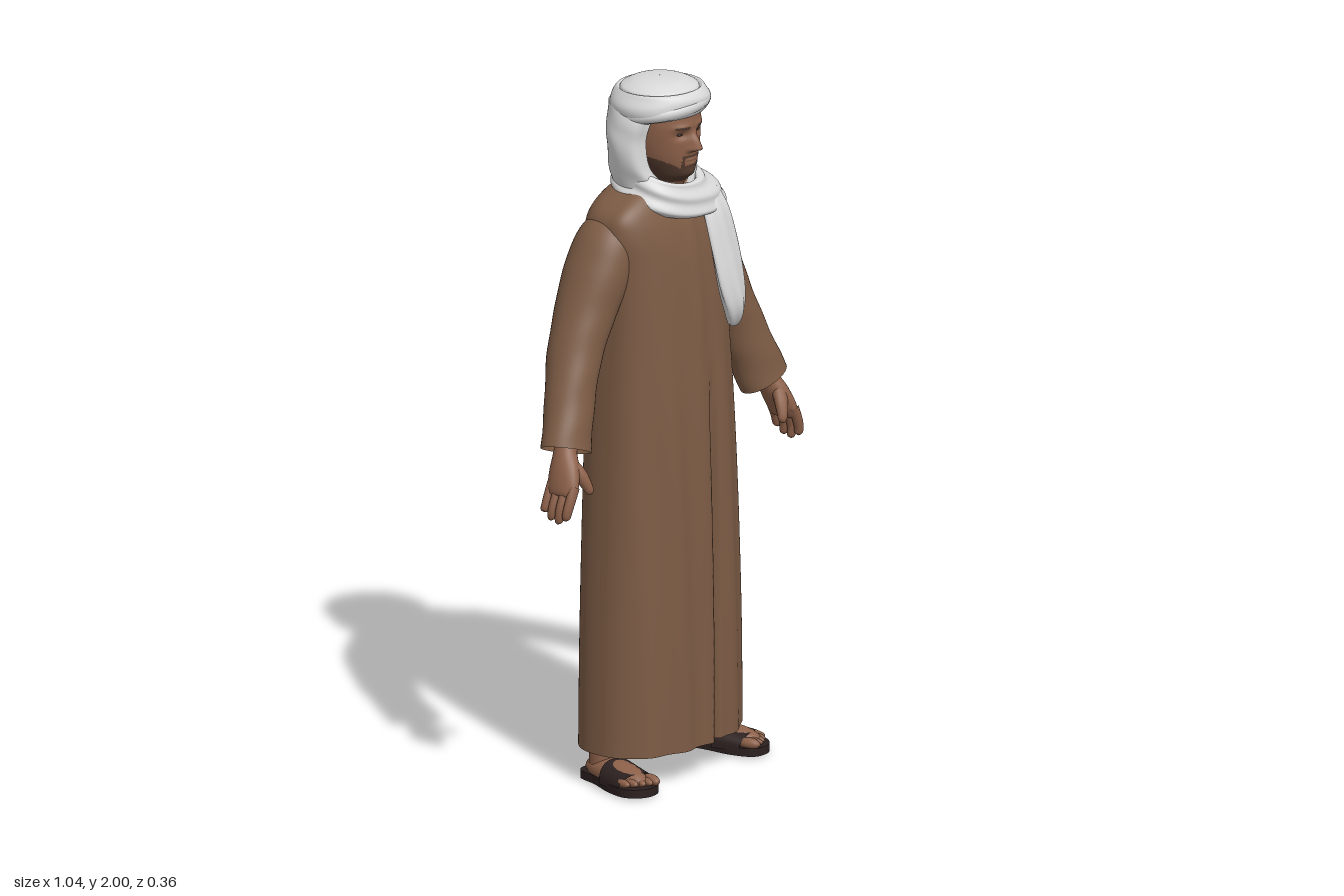
import * as THREE from 'three';

const mat = (name, color, side = THREE.FrontSide) => {
  const m = new THREE.MeshStandardMaterial({ color, side });
  m.name = name;
  return m;
};
const TAU = Math.PI * 2;
const bump = (d, w) => Math.exp(-((d / w) ** 2));
const ramp = (a, b, v) => THREE.MathUtils.smoothstep(v, a, b);
const power = (v, e) => Math.sign(v) * Math.abs(v) ** e;

// Smooth interpolation between the rows of a small profile table
const spline = (a, b, c, d, t) =>
  b + 0.5 * t * (c - a + t * (2 * a - 5 * b + 4 * c - d + t * (3 * (b - c) + d - a)));
function sample(rows, s) {
  const last = rows.length - 1;
  const f = THREE.MathUtils.clamp(s, 0, 1) * last;
  const i = Math.min(Math.floor(f), last - 1);
  const at = (k) => rows[THREE.MathUtils.clamp(k, 0, last)];
  return rows[0].map((_, c) => spline(at(i - 1)[c], at(i)[c], at(i + 1)[c], at(i + 2)[c], f - i));
}

// Surface from rings: fn(s along, t around) gives a point
function surface(ns, nt, fn, closed = true) {
  const pos = [], idx = [], cols = closed ? nt : nt + 1;
  for (let i = 0; i <= ns; i++)
    for (let j = 0; j < cols; j++) pos.push(...fn(i / ns, j / nt));
  for (let i = 0; i < ns; i++)
    for (let j = 0; j < nt; j++) {
      const k = (j + 1) % cols;
      const a = i * cols + j, b = i * cols + k, c = a + cols, d = b + cols;
      idx.push(a, b, d, a, d, c);
    }
  const g = new THREE.BufferGeometry();
  g.setAttribute('position', new THREE.Float32BufferAttribute(pos, 3));
  g.setIndex(idx);
  g.computeVertexNormals();
  return g;
}

// Tapered limb through rows of [x, y, z, half width, half depth]
function limb(rows, ns, nt, fold = () => 1) {
  return surface(ns, nt, (s, t) => {
    const [x, y, z, ra, rb] = sample(rows, s);
    const p = sample(rows, s - 0.01), q = sample(rows, s + 0.01);
    const dir = new THREE.Vector3(q[0] - p[0], q[1] - p[1], q[2] - p[2]).normalize();
    const u = new THREE.Vector3(0, 0, 1).addScaledVector(dir, -dir.z).normalize();
    const v = dir.clone().cross(u);
    const k = fold(s, t * TAU);
    return new THREE.Vector3(x, y, z)
      .addScaledVector(u, Math.cos(t * TAU) * rb * k)
      .addScaledVector(v, Math.sin(t * TAU) * ra * k).toArray();
  });
}

// Splits faces into two materials by a rule on the face centre
function paint(g, rule) {
  const p = g.attributes.position, sets = [[], []];
  for (let i = 0; i < g.index.count; i += 3) {
    const f = [0, 1, 2].map((k) => g.index.getX(i + k));
    const mid = (get) => f.reduce((sum, k) => sum + p[get](k), 0) / 3;
    sets[rule(mid('getX'), mid('getY'), mid('getZ')) ? 1 : 0].push(...f);
  }
  g.setIndex([...sets[0], ...sets[1]]);
  g.addGroup(0, sets[0].length, 0);
  g.addGroup(sets[0].length, sets[1].length, 1);
  return g;
}

export function createModel() {
  const model = new THREE.Group();
  const robeMat = mat('robe brown', 0x7d5c45, THREE.DoubleSide);
  const scarfMat = mat('scarf white', 0xd8d8d8, THREE.DoubleSide);
  const skin = mat('skin', 0x8c6049);
  const hair = mat('beard brown', 0x51392d);
  const eyeMat = mat('eye dark', 0x3a2a24);
  const leather = mat('dark leather', 0x2c2020, THREE.DoubleSide);
  const add = (parent, name, geo, m) => {
    const mesh = new THREE.Mesh(geo, m);
    mesh.name = name;
    parent.add(mesh);
    return mesh;
  };

  // Robe: [y, half width, front, back], with folds, a placket and a front slit
  const robeRows = [
    [0.09, 0.27, 0.162, 0.178], [0.4, 0.264, 0.162, 0.178], [0.75, 0.25, 0.158, 0.178],
    [1.05, 0.234, 0.15, 0.178], [1.3, 0.22, 0.135, 0.178], [1.48, 0.22, 0.118, 0.177],
    [1.58, 0.23, 0.1, 0.168], [1.64, 0.215, 0.08, 0.15], [1.685, 0.148, 0.06, 0.125],
    [1.71, 0.07, 0.045, 0.08],
  ];
  add(model, 'robe', surface(64, 180, (s, t) => {
    const [y, w, front, back] = sample(robeRows, s);
    const a = t * TAU, c = Math.cos(a), isFront = c > 0;
    const x = w * power(Math.sin(a), 0.88);
    let z = isFront ? front * c ** 0.9 : -back * Math.abs(c) ** (0.75 - 0.18 * ramp(1, 1.5, y));
    if (isFront) {
      const low = 1 - ramp(0.9, 1.5, y);
      z += 0.006 * c * low * Math.sin(x * 55 + y * 2);
      z -= 0.05 * bump(x - 0.045, 0.017) ** 2 * (1 - ramp(0.85, 1.2, y));
      z += 0.005 * bump(x, 0.028) ** 2 * ramp(1.15, 1.35, y);
    }
    return [x, y, z];
  }), robeMat);

  // Face and head: [y, half width, front, back]
  const headRows = [
    [1.66, 0.056, 0.045, 0.08], [1.705, 0.05, 0.07, 0.08], [1.735, 0.066, 0.097, 0.085],
    [1.78, 0.086, 0.105, 0.092], [1.83, 0.096, 0.108, 0.1], [1.88, 0.099, 0.11, 0.108],
    [1.935, 0.094, 0.1, 0.108],
  ];
  const head = surface(80, 96, (s, t) => {
    const [y, w, front, back] = sample(headRows, s);
    const a = t * TAU, c = Math.cos(a), x = w * Math.sin(a), ax = Math.abs(x);
    let z = c * (c > 0 ? front : back);
    if (c > 0) {
      z += 0.034 * bump(x, 0.014) * ramp(1.797, 1.813, y) * (1 - ramp(1.812, 1.87, y));
      z += 0.008 * bump(ax - 0.014, 0.008) * bump(y - 1.81, 0.009);
      z -= 0.01 * bump(ax - 0.036, 0.02) * bump(y - 1.852, 0.012);
      z += 0.005 * bump(ax - 0.036, 0.028) * bump(y - 1.875, 0.008);
      z += 0.006 * bump(x, 0.024) * (bump(y - 1.779, 0.005) + bump(y - 1.767, 0.005));
      z += 0.006 * bump(x, 0.025) * bump(y - 1.737, 0.014);
    }
    return [x, y, z];
  });
  add(model, 'head', paint(head, (x, y, z) => {
    const ax = Math.abs(x);
    const lips = ax < 0.026 && y > 1.76 && y < 1.784;
    const beard = z > 0 && y > 1.71 && y < 1.75 + 0.6 * Math.max(0, ax - 0.025);
    const moustache = z > 0 && ax < 0.034 && y > 1.71 && y < 1.791;
    const brow = z > 0 && Math.abs(ax - 0.037) < 0.021 && Math.abs(y - 1.874) < 0.004;
    return ((beard || moustache) && !lips) || brow;
  }), [skin, hair]);
  for (const side of [-1, 1]) {
    const eye = add(model, 'eye', new THREE.SphereGeometry(1, 16, 10), eyeMat);
    eye.scale.set(0.012, 0.0045, 0.006);
    eye.position.set(side * 0.036, 1.854, 0.09);
  }

  // Turban: [y, radius]
  const turbanRows = [
    [1.885, 0.1], [1.885, 0.122], [1.905, 0.136], [1.935, 0.139], [1.96, 0.129], [1.974, 0.118],
    [1.97, 0.11], [1.978, 0.103], [1.993, 0.07], [1.999, 0.03], [2, 0.001],
  ];
  add(model, 'turban', surface(50, 64, (s, t) => {
    const [y, r0] = sample(turbanRows, s);
    const a = t * TAU;
    const r = r0 * (1 + 0.014 * Math.sin(3 * a + s * 22) * (1 - ramp(0.4, 0.6, s)));
    const tilt = 0.022 * Math.cos(a) * (1 - ramp(0.1, 0.6, s));
    return [-0.005 + r * 1.02 * Math.sin(a), y + tilt, -0.008 + r * Math.cos(a)];
  }), scarfMat);
  const roll = add(model, 'turbanRoll', new THREE.TorusGeometry(0.122, 0.02, 12, 64), scarfMat);
  roll.rotation.set(Math.PI / 2 - 0.12, 0.1, 0);
  roll.position.set(-0.005, 1.922, -0.006);

  // Cloth over the ears and nape: [y, half width, half depth, half opening angle]
  const drapeRows = [
    [1.67, 0.115, 0.1, 0.3], [1.71, 0.128, 0.103, 0.55], [1.76, 0.146, 0.104, 0.85],
    [1.83, 0.153, 0.108, 0.95], [1.88, 0.148, 0.112, 0.9], [1.93, 0.13, 0.118, 0.8],
  ];
  add(model, 'headDrape', surface(36, 72, (s, t) => {
    const [y, w, d, gap] = sample(drapeRows, s);
    const a = gap + t * (TAU - 2 * gap);
    const edge = Math.min(t, 1 - t);
    const k = 1 - 0.18 * bump(edge, 0.035) + 0.012 * Math.sin(s * 17 + 3 * Math.cos(a) + a);
    return [-0.008 + w * k * Math.sin(a), y, -0.03 + d * k * Math.cos(a) * (Math.cos(a) > 0 ? 1.15 : 1)];
  }, false), scarfMat);

  // Scarf wound round the neck: [y, half width, half depth, centre x]
  const collarRows = [
    [1.665, 0.12, 0.1, 0.02], [1.642, 0.158, 0.122, 0.03], [1.655, 0.175, 0.132, 0.034],
    [1.685, 0.163, 0.129, 0.026], [1.713, 0.137, 0.119, 0.008], [1.737, 0.12, 0.107, -0.002],
    [1.74, 0.1, 0.095, 0], [1.715, 0.085, 0.085, 0],
  ];
  add(model, 'neckScarf', surface(56, 80, (s, t) => {
    const [y, w, d, cx] = sample(collarRows, s);
    const a = t * TAU;
    const k = 1 + 0.025 * Math.sin(s * 26 + 1.6 * Math.sin(a + 0.6));
    return [cx + w * k * power(Math.sin(a), 0.9), y - 0.036 * Math.cos(a) - 0.012 * Math.sin(a),
      -0.008 + d * k * power(Math.cos(a), 0.85)];
  }), scarfMat);

  // Hanging end of the scarf
  add(model, 'scarfTail', limb([
    [0.1, 1.66, 0.075, 0.035, 0.02], [0.102, 1.6, 0.105, 0.046, 0.024], [0.107, 1.5, 0.132, 0.05, 0.022],
    [0.113, 1.4, 0.15, 0.047, 0.024], [0.124, 1.33, 0.155, 0.035, 0.024], [0.138, 1.28, 0.142, 0.021, 0.014],
    [0.14, 1.268, 0.138, 0.002, 0.002],
  ], 36, 32, (s, a) => 1 + 0.1 * Math.sin(5 * a + s * 3)), scarfMat);

  // Arms, legs and sandals, mirrored
  for (const side of [1, -1]) {
    const half = new THREE.Group();
    half.name = side > 0 ? 'leftLimbs' : 'rightLimbs';
    half.scale.x = side;
    model.add(half);

    add(half, 'sleeve', limb([
      [0.12, 1.6, -0.04, 0.02, 0.05], [0.172, 1.568, -0.044, 0.076, 0.088],
      [0.222, 1.48, -0.05, 0.086, 0.098], [0.277, 1.37, -0.052, 0.081, 0.088],
      [0.337, 1.25, -0.042, 0.073, 0.078], [0.39, 1.12, -0.016, 0.073, 0.068],
      [0.43, 1.017, 0.006, 0.08, 0.064],
    ], 40, 40, (s, a) => 1 + 0.014 * Math.sin(s * 38 + 2 * a) * ramp(0.35, 0.7, s)), robeMat);

    add(half, 'hand', limb([
      [0.405, 1.08, 0, 0.03, 0.034], [0.437, 1.02, 0.01, 0.03, 0.034],
      [0.458, 0.975, 0.024, 0.031, 0.046], [0.477, 0.93, 0.034, 0.026, 0.051],
      [0.487, 0.905, 0.035, 0.018, 0.046], [0.49, 0.9, 0.035, 0.001, 0.001],
    ], 24, 24), skin);
    [0.855, 0.836, 0.83, 0.843].forEach((tip, i) => {
      const z = -0.004 + i * 0.026;
      add(half, 'finger', limb([
        [0.476, 0.935, z, 0.016, 0.0145], [0.493, 0.9, z, 0.0155, 0.014],
        [0.504, 0.87, z - 0.002, 0.0145, 0.013], [0.506, tip + 0.008, z - 0.005, 0.012, 0.011],
        [0.505, tip, z - 0.005, 0.001, 0.001],
      ], 14, 12), skin);
    });
    add(half, 'thumb', limb([
      [0.456, 0.995, 0.035, 0.022, 0.02], [0.438, 0.96, 0.062, 0.021, 0.019],
      [0.426, 0.93, 0.077, 0.016, 0.015], [0.42, 0.91, 0.083, 0.012, 0.011],
      [0.418, 0.903, 0.084, 0.001, 0.001],
    ], 14, 12), skin);

    const foot = new THREE.Group();
    foot.name = 'foot';
    foot.position.set(0.228, 0, 0.027);
    foot.rotation.y = 0.23;
    half.add(foot);

    // Sole outline, heel to toe
    const outline = [[0, -0.138], [0.04, -0.12], [0.046, -0.05], [0.062, 0.04], [0.055, 0.105],
      [0.008, 0.138], [-0.046, 0.122], [-0.06, 0.06], [-0.046, -0.04], [-0.042, -0.115]];
    const curve = new THREE.CatmullRomCurve3(outline.map(([x, z]) => new THREE.Vector3(x, -z, 0)), true);
    const soleShape = new THREE.Shape(curve.getPoints(48).map((p) => new THREE.Vector2(p.x, p.y)));
    const sole = new THREE.ExtrudeGeometry(soleShape, { depth: 0.024, bevelEnabled: false });
    add(foot, 'sole', sole.rotateX(-Math.PI / 2), leather);

    const instep = add(foot, 'instep', new THREE.SphereGeometry(1, 24, 16), skin);
    instep.scale.set(0.05, 0.038, 0.125);
    instep.position.set(0, 0.034, -0.008);
    add(foot, 'ankle', new THREE.CylinderGeometry(0.042, 0.038, 0.3, 24).translate(0, 0.19, -0.07), skin);
    for (let i = 0; i < 5; i++) {
      const toe = add(foot, 'toe', new THREE.SphereGeometry(1, 14, 10), skin);
      const r = i === 0 ? 0.017 : 0.0125;
      toe.scale.set(r, r * 0.95, 0.034);
      toe.position.set(-0.038 + i * 0.0205, 0.034, 0.1 - i * i * 0.0016);
    }
    // Arched strap across the instep
    add(foot, 'strap', surface(12, 24, (s, t) => {
      const a = Math.PI * t, w = 0.063 - 0.002 * s, h = 0.06 - 0.018 * s;
      return [-w * Math.cos(a), 0.014 + h * Math.sin(a) ** 0.7,
        -0.012 + 0.098 * s - 0.012 * Math.cos(2 * a) * (s - 0.5)];
    }, false), leather);
  }
  return model;
}
